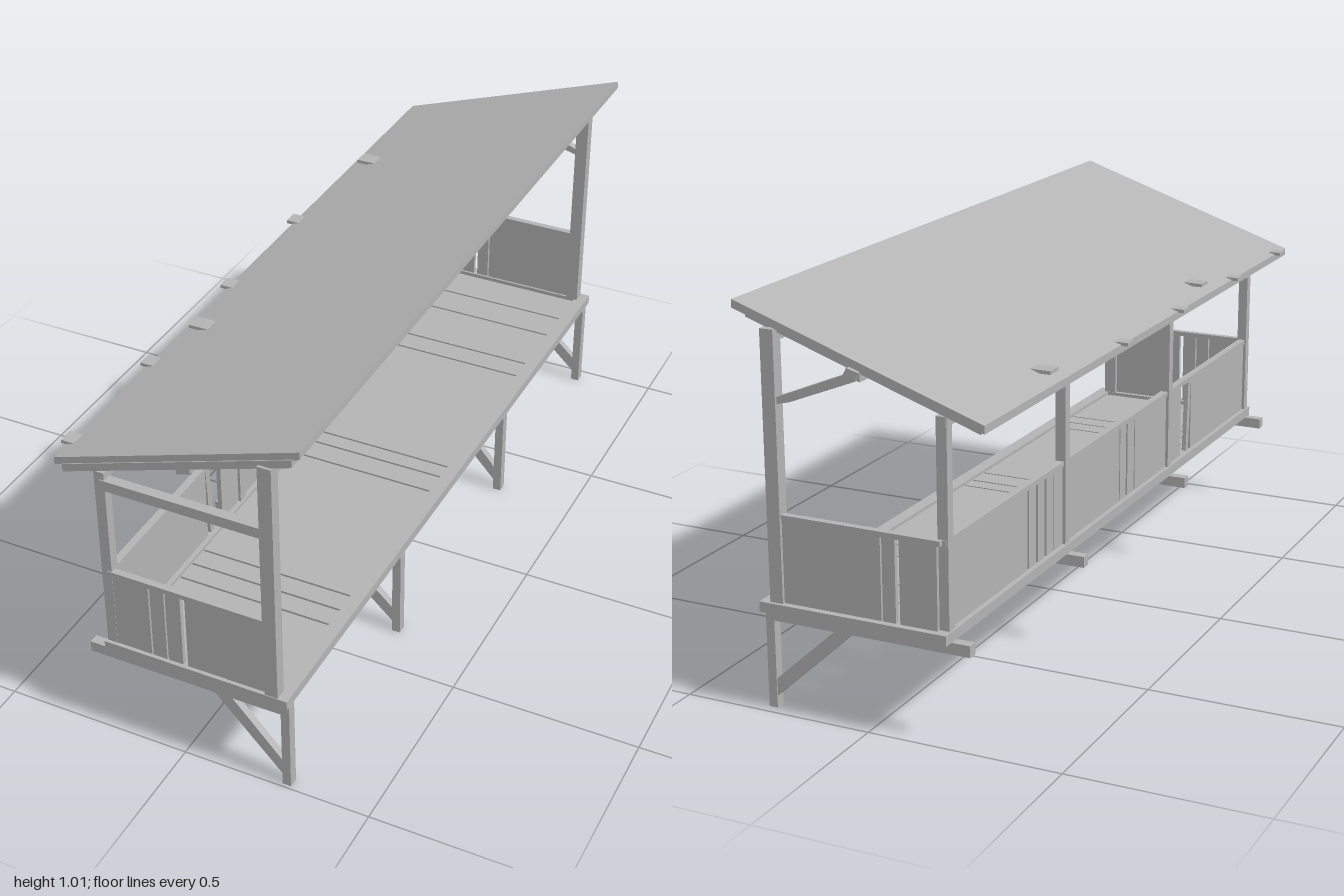
import * as THREE from 'three';

export function createModel() {
  const model = new THREE.Group();
  const wood = new THREE.MeshStandardMaterial({ color: 0xb4b4b4 });
  wood.name = 'plain grey wood';

  // box given by its limits on each axis
  function box(name, x0, x1, y0, y1, z0, z1) {
    const m = new THREE.Mesh(new THREE.BoxGeometry(x1 - x0, y1 - y0, z1 - z0), wood);
    m.position.set((x0 + x1) / 2, (y0 + y1) / 2, (z0 + z1) / 2);
    m.name = name;
    model.add(m);
    return m;
  }
  // side profile in x, y pulled along z
  function slab(name, pts, z0, z1) {
    const shape = new THREE.Shape(pts.map(p => new THREE.Vector2(p[0], p[1])));
    const m = new THREE.Mesh(new THREE.ExtrudeGeometry(shape, { depth: z1 - z0, bevelEnabled: false }), wood);
    m.position.z = z0;
    m.name = name;
    model.add(m);
    return m;
  }
  const roofY = x => 1.008 + (x - 0.328) * 0.338;
  // strip following the roof slope, d0 to d1 below its top
  const sloped = (name, x0, x1, d0, d1, z0, z1) => slab(name, [
    [x0, roofY(x0) - d1], [x1, roofY(x1) - d1], [x1, roofY(x1) - d0], [x0, roofY(x0) - d0]], z0, z1);

  // four bents: leg, floor beam, brace and rafter
  const bents = [0.978, 0.355, -0.333, -0.96];
  bents.forEach((z, i) => {
    const a = z - 0.013, b = z + 0.013;
    box('leg', 0.265, 0.288, 0, 0.254, a, b);
    box('floorBeam', -0.257, 0.285, 0.225, 0.254, a, b);
    const s = i % 2 ? -0.03 : 0;
    slab('legBrace', [[0.083 + s, 0.226], [0.265, 0.03], [0.265, 0.075], [0.13 + s, 0.226]], a + 0.003, b - 0.003);
    sloped('rafter', -0.29, 0.31, 0.018, 0.039, a, b);
    box('eavePost', -0.205, -0.178, 0.255, 0.79, a, b);
  });

  // floor rim
  box('rimLeft', -0.21, -0.172, 0.254, 0.28, -1, 1);
  box('rimRight', 0.252, 0.287, 0.254, 0.28, -1, 1);
  box('rimFront', -0.172, 0.252, 0.254, 0.28, 0.965, 1);
  box('rimBack', -0.172, 0.252, 0.254, 0.28, -1, -0.965);

  // floor boards with narrow gaps
  const cuts = [-0.965, -0.85, -0.75, -0.58, -0.51, -0.02, 0.03, 0.1, 0.58, 0.64, 0.7, 0.965];
  for (let i = 0; i < cuts.length - 1; i++) {
    box('floorBoards', -0.172, 0.252, 0.257, 0.271, cuts[i] + 0.003, cuts[i + 1] - 0.003);
  }

  // tall posts at the open side, with the plates on top
  for (const z of [0.982, -0.975]) {
    box('tallPost', 0.227, 0.262, 0.28, 0.945, z - 0.016, z + 0.016);
  }
  box('highPlate', 0.229, 0.26, 0.915, 0.942, -0.975, 0.982);
  box('eavePlate', -0.203, -0.18, 0.765, 0.79, -0.975, 0.982);

  // tie beam in front, knee brace at the back
  box('tieBeam', -0.19, 0.23, 0.742, 0.77, 0.968, 0.994);
  slab('kneeBrace', [[0.02, 0.846], [0.19, 0.778], [0.227, 0.768], [0.227, 0.785], [0.05, 0.858], [0.04, 0.876], [0.01, 0.868]],
    -0.985, -0.963);

  // middle purlin
  sloped('purlin', 0.012, 0.047, 0.038, 0.058, -0.975, 0.982);

  // long parapet: boards [z0, z1], separated by gaps
  const side = [[-0.96, -0.548], [-0.54, -0.5], [-0.49, -0.452], [-0.44, -0.4], [-0.396, 0.015],
    [0.02, 0.06], [0.07, 0.115], [0.12, 0.455], [0.532, 0.975]];
  for (const [z0, z1] of side) box('sideBoard', -0.197, -0.185, 0.28, 0.491, z0, z1);
  const loose = box('looseBoard', -0.197, -0.185, 0.28, 0.491, 0.505, 0.524);
  loose.rotation.x = 0.06;
  box('sideRail', -0.201, -0.181, 0.487, 0.5, -0.975, 0.982);

  // end parapets
  function endWall(name, boards, z) {
    for (const [x0, x1] of boards) box(name + 'Board', x0, x1, 0.28, 0.491, z - 0.006, z + 0.006);
    box(name + 'Rail', -0.19, 0.23, 0.487, 0.5, z - 0.009, z + 0.009);
  }
  endWall('front', [[-0.18, -0.082], [-0.078, -0.04], [-0.036, 0.004], [0.017, 0.23]], 0.984);
  endWall('back', [[-0.18, -0.083], [-0.072, -0.038], [-0.034, 0.23]], -0.977);

  // roof sheet
  sloped('roof', -0.313, 0.328, 0, 0.02, -1, 0.988);

  // loose shingle ends along the eave
  for (const z of [-0.23, 0.145, 0.55, 0.91]) box('eaveTab', -0.33, -0.295, 0.789, 0.798, z - 0.02, z + 0.02);
  for (const z of [-0.6, 0.37]) box('liftedTab', -0.293, -0.24, 0.807, 0.816, z - 0.022, z + 0.022);

  return model;
}
